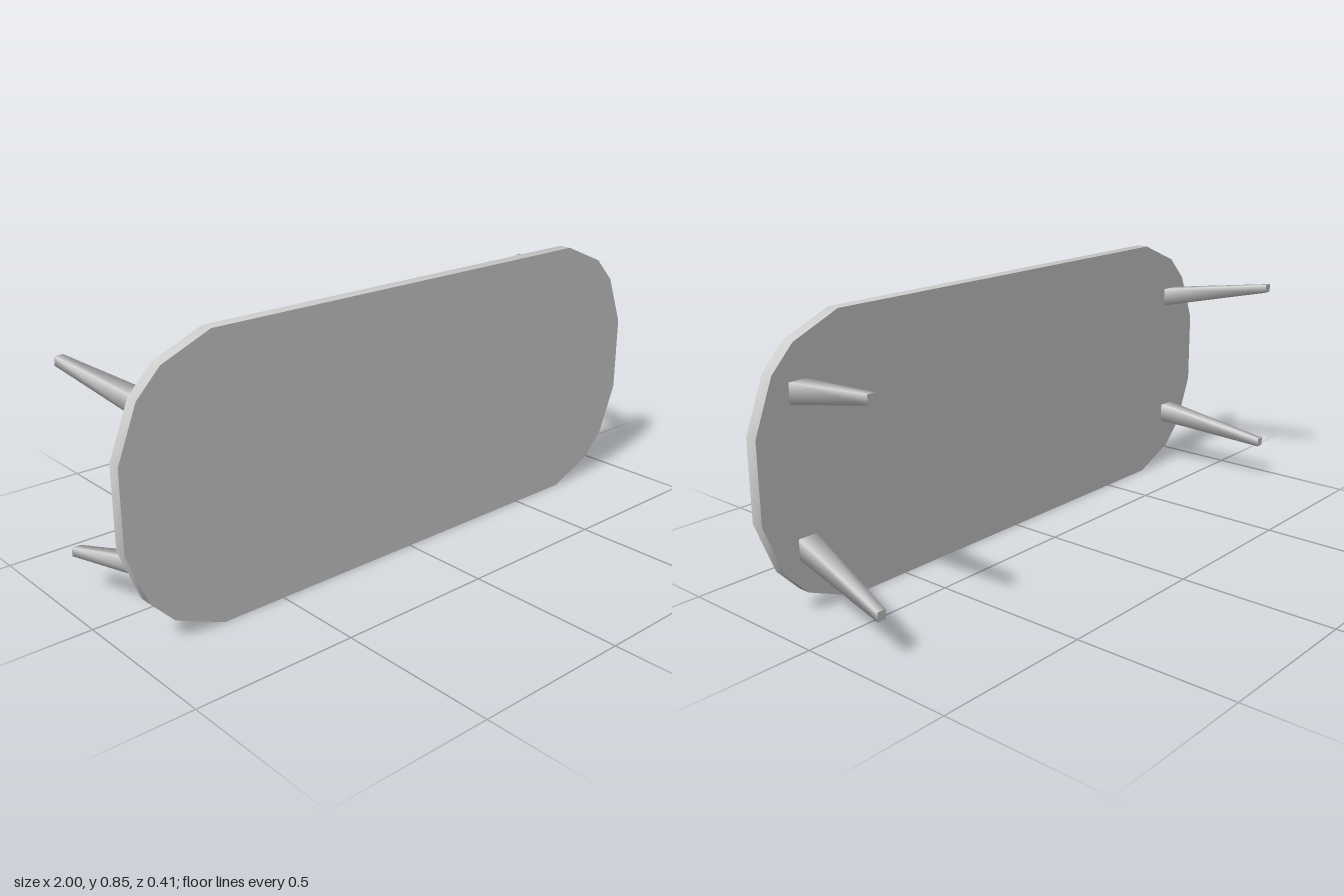
import * as THREE from 'three';
import { toCreasedNormals } from 'three/addons/utils/BufferGeometryUtils.js';

const MID_Y = 0.4225;   // height of the panel's centre
const BACK = 0.167;     // z of the panel's back face
const TIP = -0.206;     // z of the leg tips

export function createModel() {
  const group = new THREE.Group();
  const material = new THREE.MeshStandardMaterial({ color: 0xcccccc });

  // Table top standing on its long edge: one rounded corner, mirrored to all four
  const corner = [[1, 0.121], [0.937, 0.28], [0.863, 0.357], [0.707, 0.4225]];
  const flipped = corner.slice().reverse();
  const outline = [
    ...corner,
    ...flipped.map(([x, y]) => [-x, y]),
    ...corner.map(([x, y]) => [-x, -y]),
    ...flipped.map(([x, y]) => [x, -y]),
  ].map(([x, y]) => new THREE.Vector2(x, y));
  const topGeometry = new THREE.ExtrudeGeometry(new THREE.Shape(outline), { depth: 0.04, bevelEnabled: false });
  const top = new THREE.Mesh(toCreasedNormals(topGeometry, 0.7), material);
  top.name = 'tableTop';
  top.position.set(0, MID_Y, BACK);
  group.add(top);

  // Four tapered square legs, splayed outwards by a shear
  const length = BACK - TIP;
  for (const sx of [-1, 1]) {
    for (const sy of [-1, 1]) {
      const geometry = new THREE.CylinderGeometry(0.0137 * Math.SQRT2, 0.0305 * Math.SQRT2, length, 4);
      geometry.rotateY(Math.PI / 4).rotateX(-Math.PI / 2);
      geometry.applyMatrix4(new THREE.Matrix4().set(
        1, 0, -sx * 0.07 / length, 0,
        0, 1, -sy * 0.064 / length, 0,
        0, 0, 1, 0,
        0, 0, 0, 1));
      const leg = new THREE.Mesh(geometry, material);
      leg.name = (sy > 0 ? 'upper' : 'lower') + (sx > 0 ? 'Left' : 'Right') + 'Leg';
      leg.position.set(sx * 0.889, MID_Y + sy * 0.2535, (BACK + TIP) / 2);
      group.add(leg);
    }
  }
  return group;
}
